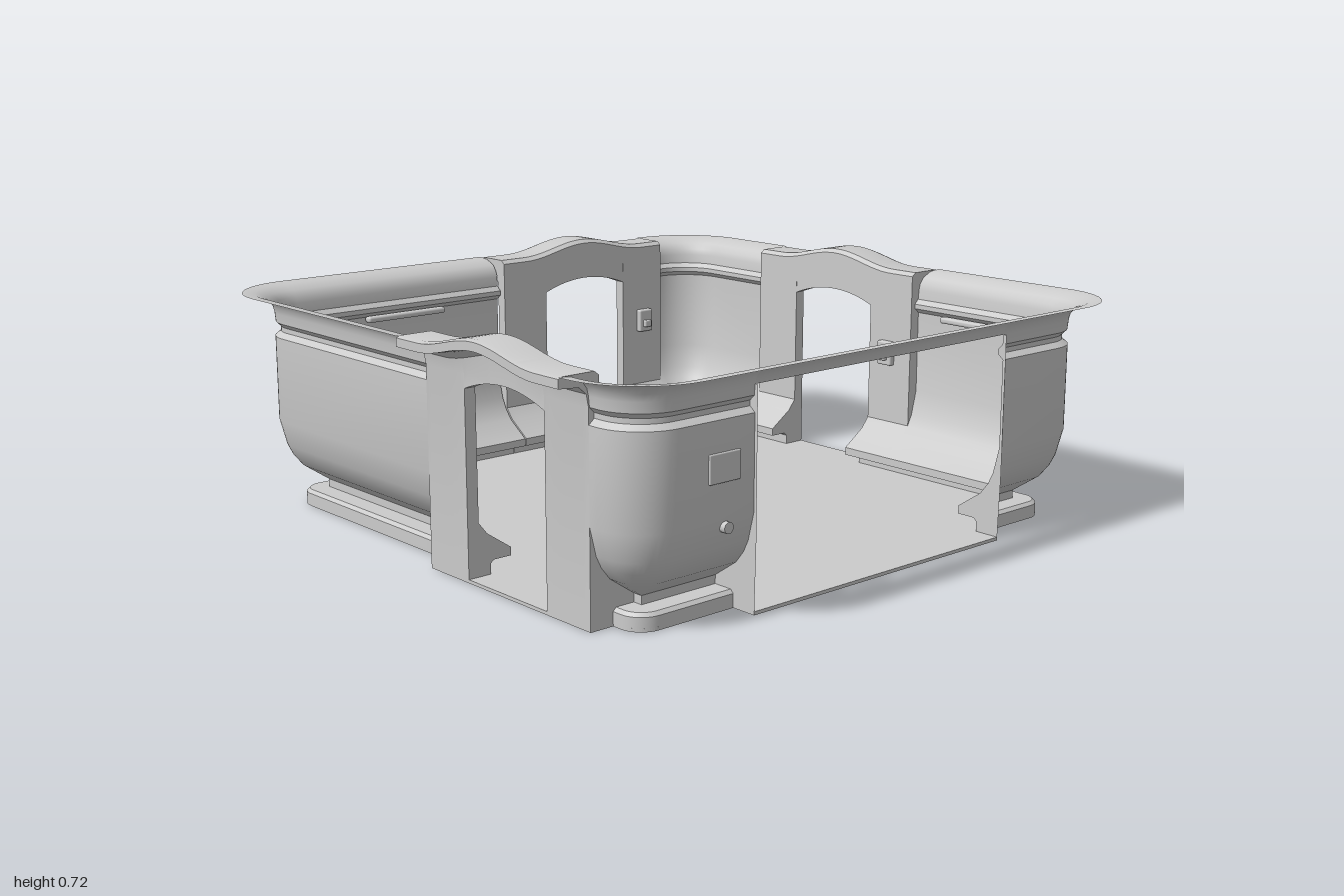
import * as THREE from 'three';
import { toCreasedNormals } from 'three/addons/utils/BufferGeometryUtils.js';
import { RoundedBoxGeometry } from 'three/addons/geometries/RoundedBoxGeometry.js';

const mat = new THREE.MeshStandardMaterial({ color: 0xcccccc, side: THREE.DoubleSide });
const C = 0.76; // centre of the corner arcs
const DOOR = 0.355, GAP = 0.175; // half widths of a door frame and of its opening

// wall profile as [distance from centre, height], rim to floor
const rim = [[1, 0.68], [0.96, 0.676], [0.925, 0.66], [0.91, 0.64], [0.905, 0.62]];
const foot = [[0.885, 0.2], [0.868, 0.165], [0.84, 0.13], [C, 0.075], [C, 0.05], [0.82, 0.05], [0.83, 0.04], [0.83, 0]];
const body = [[0.905, 0.62], [0.902, 0.59], [0.887, 0.575], [0.887, 0.56], [0.905, 0.545], [0.905, 0.28], ...foot];
const profile = [...rim, ...body.slice(1)];

function mesh(geo, name, parent) {
  const m = new THREE.Mesh(geo, mat);
  m.name = name;
  parent.add(m);
  return m;
}

// sides: 0 front, 1 right, 2 back, 3 left; u runs along a side, d points outward
function sidePoint(side, u, d) {
  return new THREE.Vector3(u, 0, d).applyAxisAngle(new THREE.Vector3(0, 1, 0), side * Math.PI / 2);
}

function sideGroup(side, name, parent) {
  const g = new THREE.Group();
  g.name = name;
  g.rotation.y = side * Math.PI / 2;
  parent.add(g);
  return g;
}

// sweep a profile along stations of { base point, outward normal }
function sweep(stations, prof) {
  const pos = [], idx = [], n = prof.length;
  for (const s of stations)
    for (const [d, y] of prof) pos.push(s.c.x + s.n.x * (d - C), y, s.c.z + s.n.z * (d - C));
  for (let i = 0; i < stations.length - 1; i++)
    for (let j = 0; j < n - 1; j++) {
      const a = i * n + j, b = a + n;
      idx.push(a, a + 1, b, b, a + 1, b + 1);
    }
  const g = new THREE.BufferGeometry();
  g.setAttribute('position', new THREE.Float32BufferAttribute(pos, 3));
  g.setIndex(idx);
  return toCreasedNormals(g, 0.6);
}

// wall from u0 on one side, round its corner, to u1 on the next side
function cornerStations(side, u0, u1) {
  const out = [{ c: sidePoint(side, u0, C), n: sidePoint(side, 0, 1) }];
  for (let i = 0; i <= 12; i++) {
    const a = i / 12 * Math.PI / 2;
    out.push({ c: sidePoint(side, C, C), n: sidePoint(side, Math.sin(a), Math.cos(a)) });
  }
  out.push({ c: sidePoint(side + 1, u1, C), n: sidePoint(side + 1, 0, 1) });
  return out;
}

const bump = u => Math.abs(u) < 0.26 ? 0.04 * Math.cos(u / 0.26 * Math.PI / 2) ** 2 : 0;

// extrude a [d, y] section along u, raising its top into a hump and its soffit into an arch
function frameBar(section, u0, u1, steps) {
  const shape = new THREE.Shape(section.map(p => new THREE.Vector2(...p)));
  const g = new THREE.ExtrudeGeometry(shape, { depth: u1 - u0, steps, bevelEnabled: false });
  g.rotateY(-Math.PI / 2).translate(u1, 0, 0);
  const p = g.attributes.position;
  for (let i = 0; i < p.count; i++) {
    const u = p.getX(i), y = p.getY(i);
    if (y > 0.62) p.setY(i, y + bump(u));
    else if (Math.abs(y - 0.55) < 0.001) p.setY(i, y + 0.035 * (1 - (u / GAP) ** 2));
  }
  g.deleteAttribute('normal');
  return toCreasedNormals(g, 0.6);
}

// door frame: two solid legs under a flared, humped lintel
function addDoor(parent, side, centre, name) {
  const g = sideGroup(side, name, parent);
  const f = new THREE.Group();
  f.position.x = centre;
  g.add(f);
  const hood = [[0.905, 0.59], [0.912, 0.625], [0.935, 0.645], [1, 0.65], [1, 0.675], [0.985, 0.68], [0.885, 0.68], [0.87, 0.668]];
  const inner = foot.slice(1).map(([d, y]) => [d, y]);
  const leg = [[0.905, 0], ...hood, ...inner];
  const lintel = [[0.905, 0.55], ...hood, [0.87, 0.55]];
  mesh(frameBar(leg, -DOOR, -GAP, 8), 'doorLeg', f);
  mesh(frameBar(leg, GAP, DOOR, 8), 'doorLeg', f);
  mesh(frameBar(lintel, -GAP, GAP, 20), 'doorLintel', f);
  const sill = mesh(new THREE.BoxGeometry(2 * GAP, 0.01, 0.145), 'doorSill', f);
  sill.position.set(0, 0.005, 0.8325);
}

function addBox(g, name, w, h, t, u, y, d, r) {
  mesh(new RoundedBoxGeometry(w, h, t, 2, r), name, g).position.set(u, y, d);
}

export function createModel() {
  const root = new THREE.Group();
  root.name = 'tubShell';

  // four corner walls between the openings
  const spans = [[0, 0.73, -0.5], [1, 0.5, -0.23], [2, 0.48, -0.735], [3, -0.02, 0.02]];
  for (const [side, u0, u1] of spans) mesh(sweep(cornerStations(side, u0, u1), profile), 'cornerWall', root);

  // rim strip above the wide side opening
  const strip = [-0.5, 0.5].map(u => ({ c: sidePoint(1, u, C), n: sidePoint(1, 0, 1) }));
  mesh(sweep(strip, rim), 'rimStrip', root);

  // floor slab with rounded corners
  const s = new THREE.Shape();
  const h = 0.83, r = h - C;
  s.moveTo(-C, -h).lineTo(C, -h).absarc(C, -C, r, -Math.PI / 2, 0);
  s.lineTo(h, C).absarc(C, C, r, 0, Math.PI / 2);
  s.lineTo(-C, h).absarc(-C, C, r, Math.PI / 2, Math.PI);
  s.lineTo(-h, -C).absarc(-C, -C, r, Math.PI, Math.PI * 1.5);
  const floor = new THREE.ExtrudeGeometry(s, { depth: 0.01, bevelEnabled: false, curveSegments: 8 });
  mesh(floor.rotateX(-Math.PI / 2), 'floor', root);

  // doors
  addDoor(root, 0, 0.375, 'frontDoor');
  addDoor(root, 2, 0.125, 'backDoor');
  addDoor(root, 3, -0.38, 'leftDoor');

  // wide opening: sill and jamb plates
  const wide = sideGroup(1, 'wideOpening', root);
  mesh(new THREE.BoxGeometry(1, 0.01, 0.155), 'wideSill', wide).position.set(0, 0.005, 0.8325);
  const jamb = new THREE.Shape([...body, [0.91, 0], [0.915, 0.2], [0.915, 0.62]].map(p => new THREE.Vector2(...p)));
  for (const u of [-0.5, 0.5]) {
    const plate = new THREE.ShapeGeometry(jamb).rotateY(-Math.PI / 2);
    mesh(plate, 'jambPlate', wide).position.x = u;
  }

  // wall fittings: grab bars, switch boxes, hook
  const fit = [0, 1, 2, 3].map(i => sideGroup(i, 'wallFittings', root));
  addBox(fit[3], 'grabBar', 0.3, 0.02, 0.03, 0.37, 0.54, 0.883, 0.008);
  addBox(fit[2], 'grabBar', 0.3, 0.02, 0.03, -0.5, 0.54, 0.883, 0.008);
  for (const [side, u] of [[0, 0.11], [2, -0.13], [3, -0.65]]) {
    addBox(fit[side], 'switchBox', 0.06, 0.08, 0.03, u, 0.4, 0.864, 0.006);
    addBox(fit[side], 'switchKnob', 0.03, 0.025, 0.02, u, 0.39, 0.846, 0.005);
  }
  addBox(fit[1], 'socketBox', 0.11, 0.08, 0.032, -0.605, 0.42, 0.894, 0.004);
  const hook = mesh(new THREE.CylinderGeometry(0.016, 0.016, 0.05, 16), 'hookPin', fit[1]);
  hook.rotation.x = Math.PI / 2;
  hook.position.set(-0.6, 0.26, 0.893);
  const ring = mesh(new THREE.TorusGeometry(0.022, 0.007, 8, 16, Math.PI * 1.5), 'hookRing', fit[1]);
  ring.rotation.z = Math.PI * 0.75;
  ring.position.set(-0.6, 0.25, 0.868);

  return root;
}
